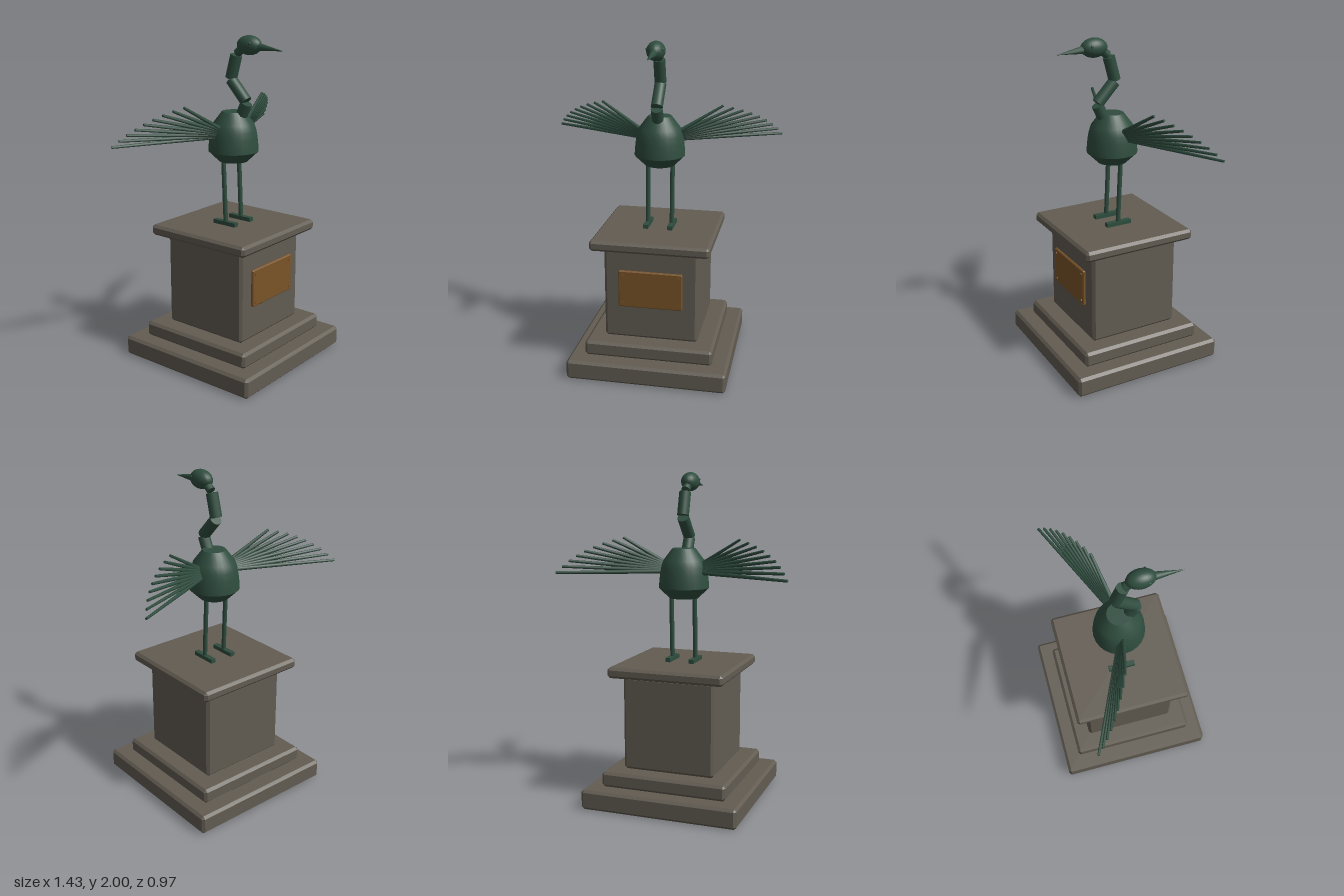
import * as THREE from 'three';
import { toCreasedNormals } from 'three/addons/utils/BufferGeometryUtils.js';
import { ConvexGeometry } from 'three/addons/geometries/ConvexGeometry.js';

const material = (name, color) => Object.assign(new THREE.MeshStandardMaterial({ color }), { name });
const V = (x, y, z) => new THREE.Vector3(x, y, z);

// Box with every edge cut at 45 degrees
function chamferBox(w, h, d, c) {
  const points = [];
  for (const x of [-1, 1]) for (const y of [-1, 1]) for (const z of [-1, 1]) {
    const X = x * w / 2, Y = y * h / 2, Z = z * d / 2;
    points.push(V(X, Y - y * c, Z - z * c), V(X - x * c, Y, Z - z * c), V(X - x * c, Y - y * c, Z));
  }
  return new ConvexGeometry(points);
}

// Cylinder running from a to b
function rod(a, b, rStart, rEnd, sides) {
  const dir = b.clone().sub(a);
  const geometry = new THREE.CylinderGeometry(rEnd, rStart, dir.length(), sides);
  geometry.applyQuaternion(new THREE.Quaternion().setFromUnitVectors(V(0, 1, 0), dir.normalize()));
  const mid = a.clone().add(b).multiplyScalar(0.5);
  return geometry.translate(mid.x, mid.y, mid.z);
}

export function createModel() {
  const stone = material('stone', 0x625c52);
  const patina = material('green patina', 0x2f4d3f);
  const bronze = material('bronze', 0x7a5428);
  const model = new THREE.Group();
  model.name = 'birdStatue';

  const add = (name, geometry, mat, parent = model) => {
    const mesh = new THREE.Mesh(geometry, mat);
    mesh.name = name;
    parent.add(mesh);
    return mesh;
  };

  // Pedestal: name, width, bottom, top
  const pedestal = new THREE.Group();
  pedestal.name = 'pedestal';
  model.add(pedestal);
  for (const [name, w, y0, y1] of [
    ['baseSlab', 0.97, 0, 0.122],
    ['step', 0.78, 0.122, 0.216],
    ['block', 0.572, 0.216, 0.79],
    ['cap', 0.72, 0.79, 0.855],
  ]) add(name, chamferBox(w, y1 - y0, w, 0.016), stone, pedestal).position.y = (y0 + y1) / 2;

  // Plaque with four rivets
  add('plaque', chamferBox(0.39, 0.232, 0.02, 0.006), bronze).position.set(0, 0.543, 0.296);
  for (const x of [-0.17, 0.17]) for (const y of [0.455, 0.63]) {
    const rivet = add('rivet', new THREE.CylinderGeometry(0.009, 0.009, 0.008, 8), bronze);
    rivet.rotation.x = Math.PI / 2;
    rivet.position.set(x, y, 0.307);
  }

  // Body
  const profile = [[0, 1.245], [0.088, 1.245], [0.153, 1.308], [0.151, 1.345], [0.146, 1.39],
    [0.139, 1.432], [0.125, 1.475], [0.07, 1.547], [0, 1.547]].map(([r, y]) => new THREE.Vector2(r, y));
  add('body', toCreasedNormals(new THREE.LatheGeometry(profile, 24), 0.42), patina);

  // Neck of straight lengths
  const neck = [[1.5, 0.047], [1.61, 0.1], [1.737, -0.019], [1.888, 0.023], [1.935, 0.085]].map(([y, z]) => V(0, y, z));
  for (let i = 0; i < 4; i++) {
    const r = i === 3 ? 0.026 : 0.036;
    const trim = neck[i + 1].clone().sub(neck[i]).setLength(0.007);
    add('neckSection', rod(neck[i].clone().add(trim), neck[i + 1].clone().sub(trim), r, r, 12), patina);
  }

  // Head, beak and eyes
  const head = add('head', new THREE.SphereGeometry(1, 20, 14), patina);
  head.scale.set(0.054, 0.057, 0.083);
  head.position.set(0, 1.943, 0.117);
  add('beak', rod(V(0, 1.938, 0.175), V(0, 1.923, 0.35), 0.025, 0.001, 10), patina);
  for (const s of [-1, 1])
    add('eye', new THREE.SphereGeometry(0.008, 8, 6), patina).position.set(s * 0.045, 1.957, 0.152);

  // Fan of feathers: roots along a short line, tips along a curve
  const tips = new THREE.QuadraticBezierCurve3(V(0.71, 1.403, -0.305), V(0.617, 1.549, -0.175), V(0.37, 1.608, -0.065));
  const roots = new THREE.LineCurve3(V(0.11, 1.405, -0.028), V(0.11, 1.452, -0.004));
  for (const [side, s] of [['left', 1], ['right', -1]]) {
    const wing = new THREE.Group();
    wing.name = side + 'Wing';
    model.add(wing);
    const flip = V(s, 1, 1);
    for (let i = 0; i < 9; i++) {
      const a = roots.getPoint(i / 8).multiply(flip), b = tips.getPoint(i / 8).multiply(flip);
      add('feather', rod(a, b, 0.014, 0.008, 6), patina, wing);
    }

    // Leg and foot
    add(side + 'Leg', rod(V(s * 0.075, 0.865, 0), V(s * 0.075, 1.28, -0.018), 0.014, 0.014, 10), patina);
    add(side + 'Foot', new THREE.BoxGeometry(0.032, 0.025, 0.165), patina).position.set(s * 0.075, 0.8675, -0.002);
  }
  return model;
}
